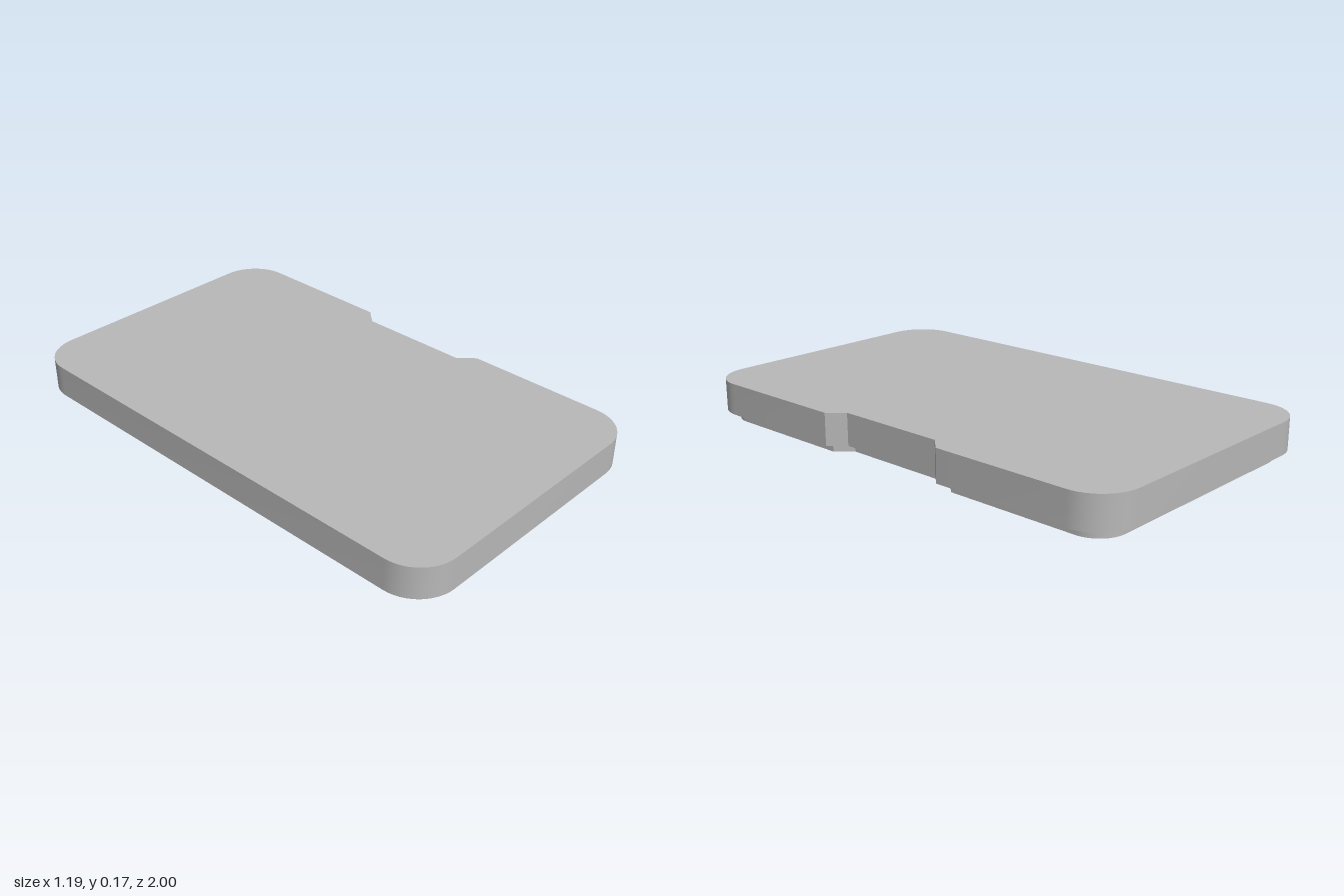
import * as THREE from 'three';
import { toCreasedNormals } from 'three/addons/utils/BufferGeometryUtils.js';

const HALF_W = 0.595, HALF_L = 1, RADIUS = 0.16;
const TOP = 0.167, LEDGE = 0.04, CEILING = 0.117;

// Rounded rectangle with a chamfered notch on the +x side, inset by d
function outline(d) {
  const w = HALF_W - d, l = HALF_L - d, r = RADIUS - d;
  const zOuter = 0.285 + 0.41 * d, zInner = 0.225 + 0.41 * d, xNotch = 0.54 - d;
  const pts = [[w, -zOuter], [xNotch, -zInner], [xNotch, zInner], [w, zOuter]]
    .map(([x, y]) => new THREE.Vector2(x, y));
  [[1, 1], [-1, 1], [-1, -1], [1, -1]].forEach(([sx, sy], k) => {
    for (let i = 0; i <= 12; i++) {
      const a = (k + i / 12) * Math.PI / 2;
      pts.push(new THREE.Vector2(sx * (w - r) + r * Math.cos(a), sy * (l - r) + r * Math.sin(a)));
    }
  });
  return pts;
}

// Vertical wall following an outline, facing outward or inward
function wall(pts, y0, y1, inward = false) {
  const pos = [], index = [], n = pts.length;
  for (const p of pts) pos.push(p.x, y0, -p.y, p.x, y1, -p.y);
  for (let i = 0; i < n; i++) {
    const a = 2 * i, b = 2 * ((i + 1) % n);
    if (inward) index.push(a, b + 1, b, a, a + 1, b + 1);
    else index.push(a, b, b + 1, a, b + 1, a + 1);
  }
  const g = new THREE.BufferGeometry();
  g.setAttribute('position', new THREE.Float32BufferAttribute(pos, 3));
  g.setIndex(index);
  return toCreasedNormals(g, 0.5);
}

// Horizontal face, optionally with a hole, facing up or down
function cap(pts, y, up, hole) {
  const shape = new THREE.Shape(pts);
  if (hole) shape.holes.push(new THREE.Path(hole));
  return new THREE.ShapeGeometry(shape).rotateX(up ? -Math.PI / 2 : Math.PI / 2).translate(0, y, 0);
}

export function createModel() {
  const model = new THREE.Group();
  model.name = 'lid';
  const grey = new THREE.MeshStandardMaterial({ color: 0xb8b8b8 });
  grey.name = 'plain grey';
  const add = (name, geometry) => {
    const mesh = new THREE.Mesh(geometry, grey);
    mesh.name = name;
    model.add(mesh);
  };

  const outer = outline(0), lip = outline(0.05), inner = outline(0.085);

  // Main slab
  add('topFace', cap(outer, TOP, true));
  add('outerWall', wall(outer, LEDGE, TOP));
  add('ledge', cap(outer, LEDGE, false, lip));

  // Fitting lip underneath
  add('lipOuterWall', wall(lip, 0, LEDGE));
  add('lipRim', cap(lip, 0, false, inner));

  // Hollow underside
  add('cavityWall', wall(inner, 0, CEILING, true));
  add('cavityCeiling', cap(inner, CEILING, false));

  return model;
}
